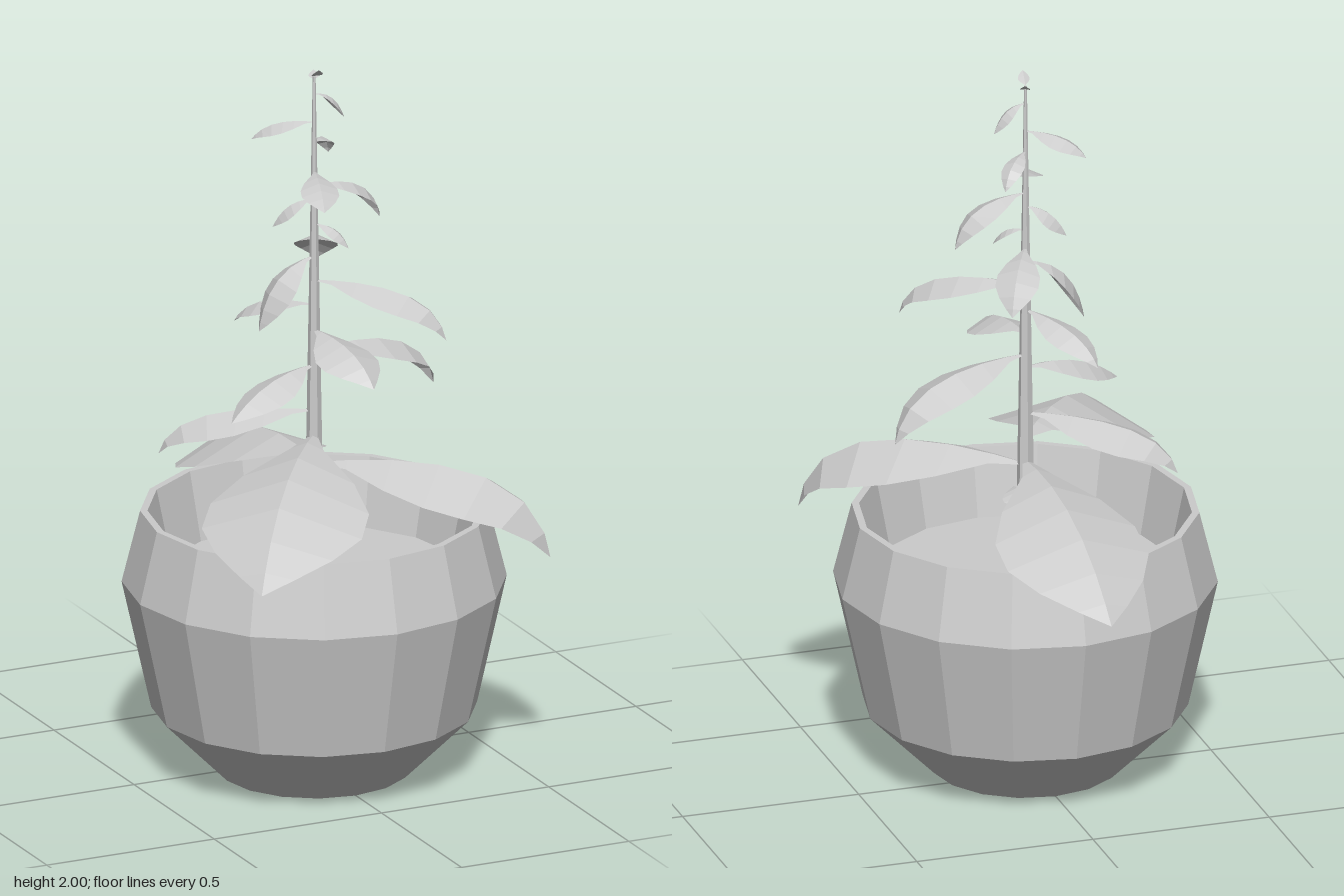
import * as THREE from 'three';

const CZ = 0.08; // plant and pot axis
const SOIL_Y = 0.55;
const mat = new THREE.MeshStandardMaterial({ color: 0xcccccc, flatShading: true });
const leafMat = new THREE.MeshStandardMaterial({ color: 0xcccccc, flatShading: true, side: THREE.DoubleSide });

function add(parent, name, geometry, material = mat) {
  const mesh = new THREE.Mesh(geometry, material);
  mesh.name = name;
  parent.add(mesh);
  return mesh;
}

// Half-width along the leaf: [position, share of the widest half-width]
const OUTLINE = [[0, 0.04], [0.12, 0.2], [0.28, 0.68], [0.45, 0.97], [0.62, 0.98], [0.78, 0.72], [0.91, 0.34], [1, 0]];

// Arched leaf from the stem to its tip, with edges drooping from the midrib.
// reach: how far out the bend lies; arch: how far the bend rises, as a share of the drop
function leafGeometry(attachY, tip, halfWidth, reach, arch) {
  const start = new THREE.Vector3(0, attachY, CZ);
  const end = new THREE.Vector3(...tip);
  const control = start.clone().lerp(end, reach);
  control.y = attachY + arch * (attachY - end.y);
  const path = new THREE.QuadraticBezierCurve3(start, control, end);
  const side = new THREE.Vector3(end.z - CZ, 0, -end.x).normalize();
  const pos = [], index = [];
  OUTLINE.forEach(([t, share], i) => {
    const p = path.getPointAt(t);
    const normal = path.getTangentAt(t).cross(side).normalize();
    const w = halfWidth * share;
    for (const s of [-1, 0, 1]) {
      const v = p.clone().addScaledVector(side, s * w).addScaledVector(normal, -Math.abs(s) * w * 0.42);
      pos.push(v.x, v.y, v.z);
    }
    if (i === 0) return;
    for (let k = 0; k < 2; k++) {
      const a = (i - 1) * 3 + k, b = a + 3;
      index.push(a, a + 1, b, a + 1, b + 1, b);
    }
  });
  const g = new THREE.BufferGeometry();
  g.setAttribute('position', new THREE.Float32BufferAttribute(pos, 3));
  g.setIndex(index);
  g.computeVertexNormals();
  return g;
}

// Leaves, bottom to top: attachment height, tip, half-width, reach, arch
const LEAVES = [
  [0.73, [-0.01, 0.75, 0.21], 0.045, 0.6, -2],
  [0.88, [-0.01, 0.67, -0.63], 0.205, 0.62, 0.25],
  [0.95, [-0.42, 0.72, 0.63], 0.225, 0.68, 0.2],
  [0.87, [0.51, 0.65, 0.49], 0.17, 0.94, 0.45],
  [1.02, [-0.36, 0.88, -0.14], 0.1, 0.92, 0.08],
  [1.15, [-0.29, 1.05, 0.17], 0.075, 0.6, 0.1],
  [1.19, [0.4, 1.01, -0.01], 0.09, 0.92, 0.1],
  [1.25, [0.04, 1.16, 0.37], 0.088, 0.75, 0.15],
  [1.32, [-0.13, 1.22, -0.15], 0.06, 0.8, 0],
  [1.39, [0.28, 1.25, 0.32], 0.08, 0.92, 0.15],
  [1.46, [-0.17, 1.27, 0.09], 0.068, 0.85, -0.1],
  [1.5, [0.1, 1.38, -0.11], 0.06, 0.8, 0],
  [1.55, [0.07, 1.49, 0.15], 0.03, 0.7, 0.1],
  [1.62, [-0.1, 1.54, 0.03], 0.045, 0.7, 0],
  [1.66, [0.21, 1.53, 0.05], 0.055, 0.9, 0.05],
  [1.7, [-0.05, 1.64, 0.25], 0.052, 0.7, 0.1],
  [1.78, [0.09, 1.71, -0.02], 0.03, 0.85, 0.15],
  [1.84, [-0.14, 1.78, -0.02], 0.045, 0.75, 0.1],
  [1.92, [0.09, 1.84, 0.08], 0.03, 0.7, 0],
  [1.97, [-0.005, 2.0, 0.12], 0.016, 0.5, -0.6],
  [1.96, [0.01, 1.98, 0.055], 0.014, 0.5, -0.6],
];

export function createModel() {
  const group = new THREE.Group();
  group.name = 'pottedPlant';

  // Pot: faceted bowl with flat base, thin rim and sloping inner wall
  const profile = [[0, 0], [0.26, 0], [0.44, 0.18], [0.52, 0.54], [0.47, 0.74], [0.45, 0.74], [0.41, SOIL_Y]];
  add(group, 'pot', new THREE.LatheGeometry(profile.map(([x, y]) => new THREE.Vector2(x, y)), 16)).position.z = CZ;

  // Soil
  const soil = add(group, 'soil', new THREE.CircleGeometry(0.41, 16).rotateX(-Math.PI / 2));
  soil.position.set(0, SOIL_Y, CZ);

  // Tapering stem
  const h = 1.97 - SOIL_Y;
  const stem = add(group, 'stem', new THREE.CylinderGeometry(0.004, 0.028, h, 6));
  stem.position.set(0, SOIL_Y + h / 2, CZ);

  // Leaves spiralling up the stem
  const leaves = new THREE.Group();
  leaves.name = 'leaves';
  group.add(leaves);
  LEAVES.forEach((leaf, i) => add(leaves, `leaf${i + 1}`, leafGeometry(...leaf), leafMat));
  return group;
}
